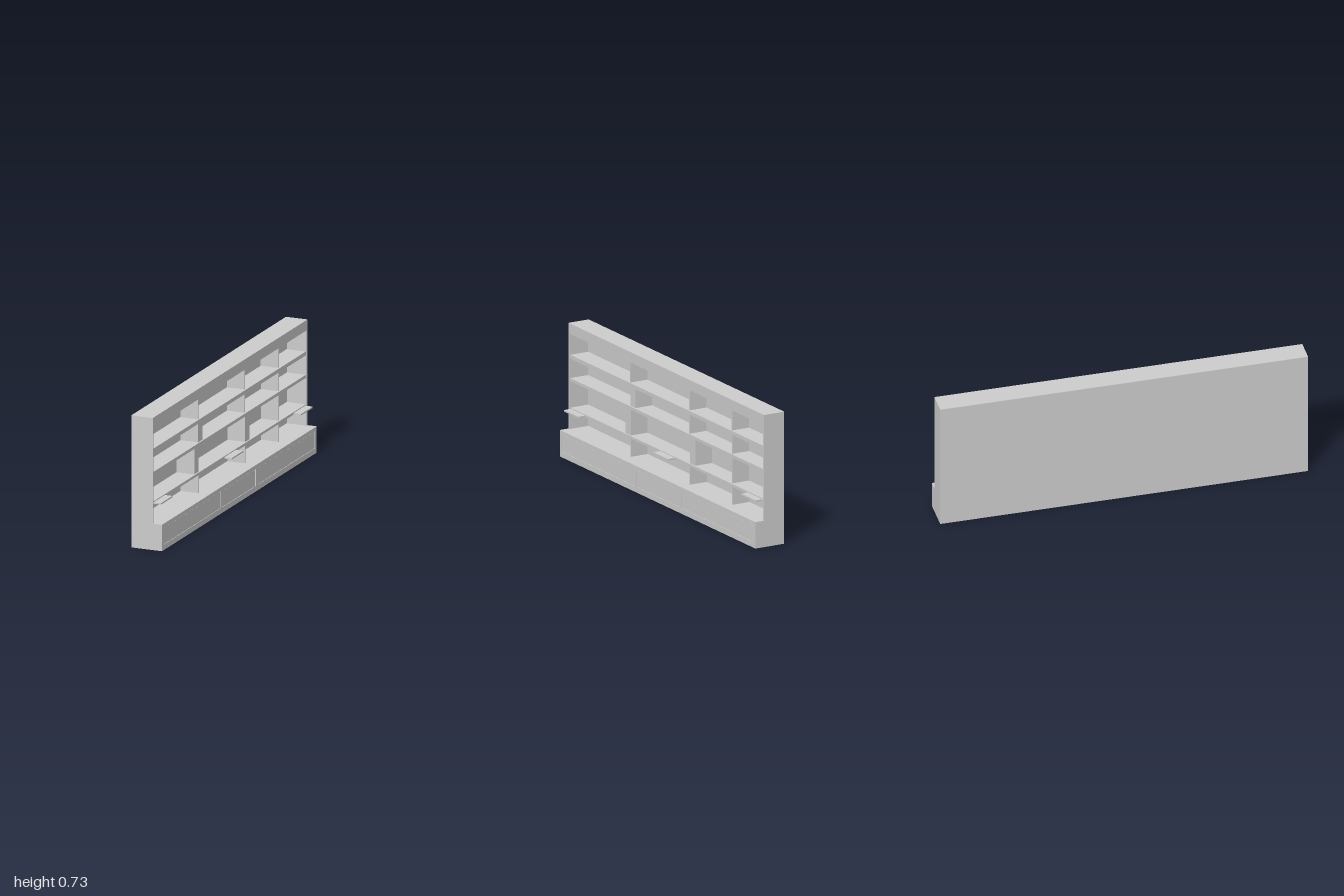
import * as THREE from 'three';

const material = new THREE.MeshStandardMaterial({ color: 0xcccccc });

export function createModel() {
  const group = new THREE.Group();

  // Box given by its extents on each axis
  const box = (name, x0, x1, y0, y1, z0, z1) => {
    const geometry = new THREE.BoxGeometry(x1 - x0, y1 - y0, z1 - z0);
    geometry.translate((x0 + x1) / 2, (y0 + y1) / 2, (z0 + z1) / 2);
    const mesh = new THREE.Mesh(geometry, material);
    mesh.name = name;
    group.add(mesh);
    return mesh;
  };

  const back = -0.094, inner = -0.084, front = 0.03;
  const baseFront = 0.083, baseTop = 0.145, top = 0.725, headerBottom = 0.668;
  const recess = 0.003;

  // Case: back panel, two sides and a deep header
  box('backPanel', back, inner, baseTop, headerBottom, -0.988, 0.988);
  box('leftSide', back, front, baseTop, headerBottom, 0.988, 1);
  box('rightSide', back, front, baseTop, headerBottom, -1, -0.988);
  box('header', back, front, headerBottom, top, -1, 1);

  // Base cabinet body
  box('base', back, baseFront - recess, 0, baseTop, -1, 1);

  // Face frame with openings that reveal the recessed drawer fronts
  const frame = new THREE.Shape();
  frame.moveTo(-1, 0).lineTo(1, 0).lineTo(1, baseTop).lineTo(-1, baseTop).closePath();
  for (const [z0, z1] of [[-0.98, -0.24], [-0.212, 0.215], [0.24, 0.98]]) {
    const hole = new THREE.Path();
    hole.moveTo(-z0, 0.03).lineTo(-z1, 0.03).lineTo(-z1, 0.123).lineTo(-z0, 0.123).closePath();
    frame.holes.push(hole);
    box('drawerFront', baseFront - 0.01, baseFront - recess + 0.0005, 0.033, 0.12, z0 + 0.003, z1 - 0.003);
  }
  const frameGeometry = new THREE.ExtrudeGeometry(frame, { depth: recess, bevelEnabled: false });
  frameGeometry.rotateY(Math.PI / 2).translate(baseFront - recess, 0, 0);
  const faceFrame = new THREE.Mesh(frameGeometry, material);
  faceFrame.name = 'faceFrame';
  group.add(faceFrame);

  // Shelves: bottom and top heights
  const shelves = [[0.248, 0.262], [0.407, 0.424], [0.531, 0.552]];
  for (const [y0, y1] of shelves) box('shelf', inner, 0.026, y0, y1, -0.988, 0.988);

  // Dividers in each bay row, from the bottom up: [z start, z end]
  const thin = (z) => [z - 0.003, z + 0.003];
  const rows = [
    { y: [baseTop, 0.248], dividers: [thin(0.382), thin(-0.222), thin(-0.657)] },
    { y: [0.262, 0.407], dividers: [[0.38, 0.437], [-0.278, -0.222], thin(-0.655)] },
    { y: [0.424, 0.531], dividers: [[0.333, 0.386], thin(-0.218), thin(-0.655)] },
    { y: [0.552, headerBottom], dividers: [thin(0.386), thin(-0.218), thin(-0.653)] },
  ];
  for (const { y, dividers } of rows) {
    for (const [z0, z1] of dividers) box('divider', inner, 0.018, y[0], y[1], z0, z1);
  }

  // Small pull-out trays on the lowest shelf
  for (const z of [-0.905, -0.008, 0.908]) {
    box('pullOutTray', 0.024, 0.069, 0.249, 0.257, z - 0.074, z + 0.074);
  }

  return group;
}
